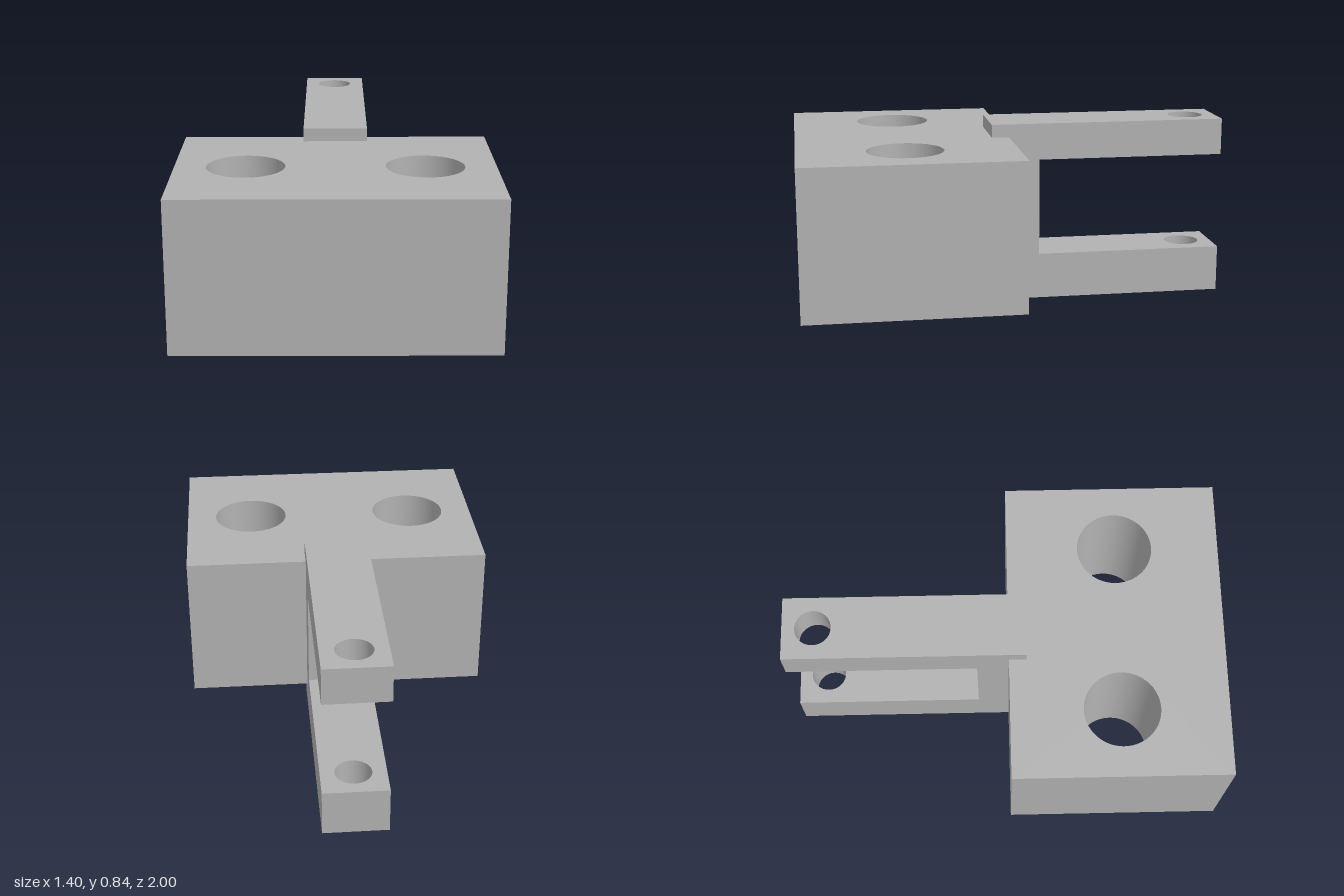
import * as THREE from 'three';
import { toCreasedNormals } from 'three/addons/utils/BufferGeometryUtils.js';

// Horizontal plate spanning x, y and z ranges, with round vertical holes [x, z, radius]
function drilledPlate(halfWidth, y0, y1, z0, z1, holes) {
  const shape = new THREE.Shape();
  shape.moveTo(-halfWidth, -z1);
  shape.lineTo(halfWidth, -z1);
  shape.lineTo(halfWidth, -z0);
  shape.lineTo(-halfWidth, -z0);
  shape.closePath();
  for (const [x, z, r] of holes) {
    const hole = new THREE.Path();
    hole.absarc(x, -z, r, 0, Math.PI * 2, true);
    shape.holes.push(hole);
  }
  const geometry = new THREE.ExtrudeGeometry(shape, {
    depth: y1 - y0, bevelEnabled: false, curveSegments: 48,
  });
  geometry.rotateX(-Math.PI / 2);
  geometry.translate(0, y0, 0);
  return toCreasedNormals(geometry, Math.PI / 6);
}

export function createModel() {
  const model = new THREE.Group();
  model.name = 'clevisBlock';
  const grey = new THREE.MeshStandardMaterial({ color: 0xb2b2b2 });
  grey.name = 'grey metal';

  const add = (name, geometry, parent) => {
    const mesh = new THREE.Mesh(geometry, grey);
    mesh.name = name;
    parent.add(mesh);
    return mesh;
  };

  // Main block with two through bores
  add('block', drilledPlate(0.7, 0.1, 0.78, 0.02, 1,
    [-0.39, 0.39].map((x) => [x, 0.52, 0.172])), model);

  // Forked bracket: two drilled arms that lap over the block, joined by a web
  const fork = new THREE.Group();
  fork.name = 'fork';
  model.add(fork);
  const halfWidth = 0.147;
  const pinHole = [[0, -0.86, 0.082]];
  add('upperArm', drilledPlate(halfWidth, 0.67, 0.84, -1, 0.1, pinHole), fork);
  add('lowerArm', drilledPlate(halfWidth, 0, 0.215, -1, 0.1, pinHole), fork);
  add('web', drilledPlate(halfWidth, 0.215, 0.67, -0.125, 0.1, []), fork);

  return model;
}
